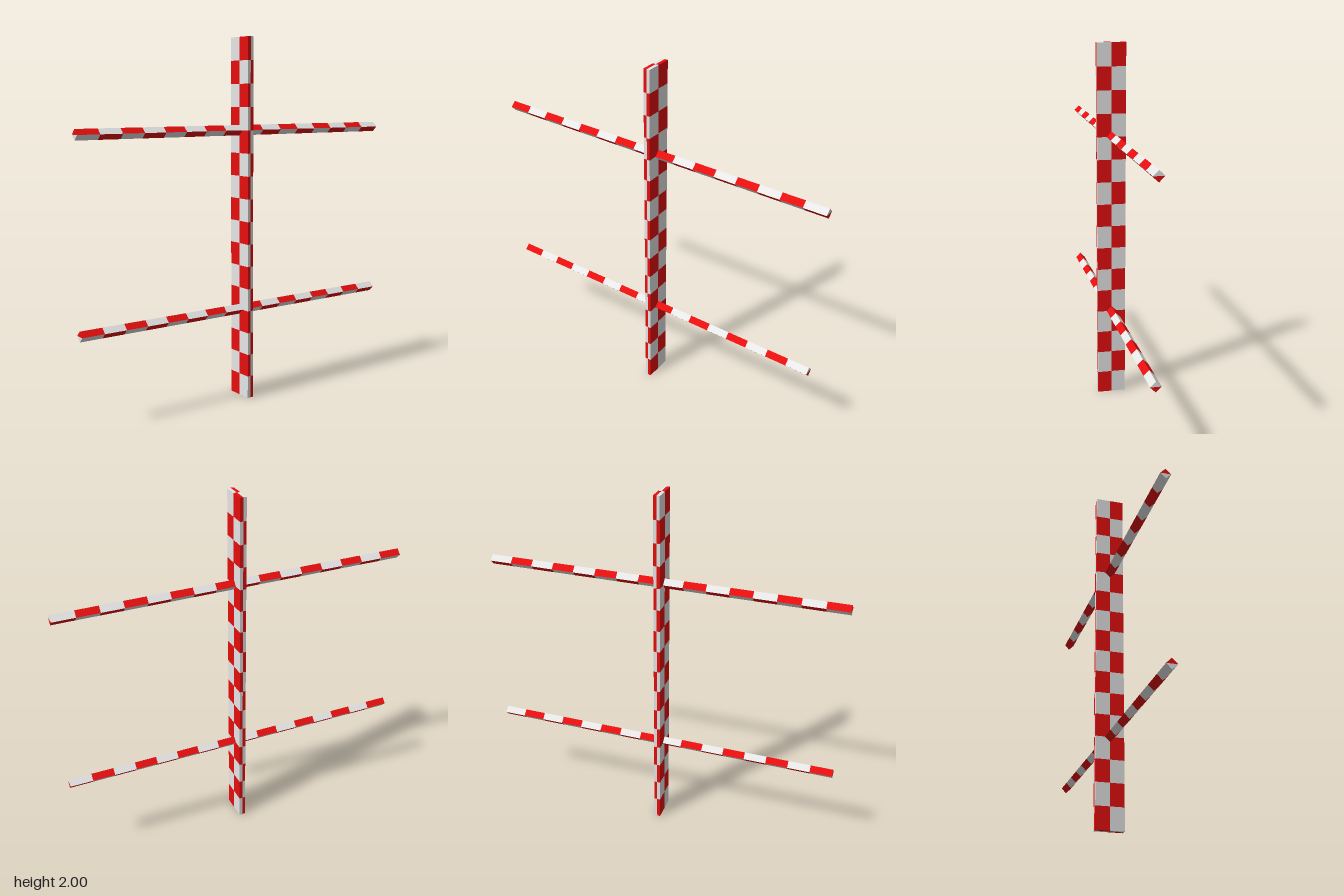
import * as THREE from 'three';

const CELL = 0.125; // length of one painted square

// Sorts the triangles of a geometry into white (group 0) and red (group 1)
// by a rule on each triangle's centre, with flat normals.
function paint(source, isRed) {
  const pos = source.toNonIndexed().getAttribute('position');
  const sides = [[], []];
  const p = new THREE.Vector3(), c = new THREE.Vector3();
  for (let i = 0; i < pos.count; i += 3) {
    const tri = [];
    c.set(0, 0, 0);
    for (let k = 0; k < 3; k++) {
      p.fromBufferAttribute(pos, i + k);
      c.addScaledVector(p, 1 / 3);
      tri.push(p.x, p.y, p.z);
    }
    sides[isRed(c) ? 1 : 0].push(...tri);
  }
  const geo = new THREE.BufferGeometry();
  geo.setAttribute('position', new THREE.Float32BufferAttribute([...sides[0], ...sides[1]], 3));
  geo.addGroup(0, sides[0].length / 3, 0);
  geo.addGroup(sides[0].length / 3, sides[1].length / 3, 1);
  geo.computeVertexNormals();
  return geo;
}

// Cell number along an axis, kept inside the part at its very ends
const cell = (v) => Math.floor((v * 0.999) / CELL);
const odd = (n) => Math.abs(n) % 2 === 1;

export function createModel() {
  const group = new THREE.Group();
  const white = new THREE.MeshStandardMaterial({ color: 0xf0f0f0 });
  white.name = 'white paint';
  const red = new THREE.MeshStandardMaterial({ color: 0xee0f0f });
  red.name = 'red paint';
  const materials = [white, red];

  // Upright post, chequered in all three directions
  const postGeo = new THREE.BoxGeometry(0.036, 2, 0.157, 2, 16, 2);
  const post = new THREE.Mesh(
    paint(postGeo, (c) => odd(cell(c.y + 1) + (c.x > 0 ? 1 : 0) + (c.z > 0 ? 0 : 1))),
    materials
  );
  post.name = 'post';
  post.position.y = 1;
  group.add(post);

  // Two square crossbars standing on edge, upper and lower faces alternating
  const barGeo = paint(
    new THREE.CylinderGeometry(0.028, 0.028, 2, 4, 16).rotateZ(Math.PI / 2),
    (c) => odd(cell(c.x)) === c.y < 0
  );
  for (const [name, y] of [['lowerCrossbar', 0.5], ['upperCrossbar', 1.5]]) {
    const bar = new THREE.Mesh(barGeo, materials);
    bar.name = name;
    bar.position.y = y;
    group.add(bar);
  }
  return group;
}
